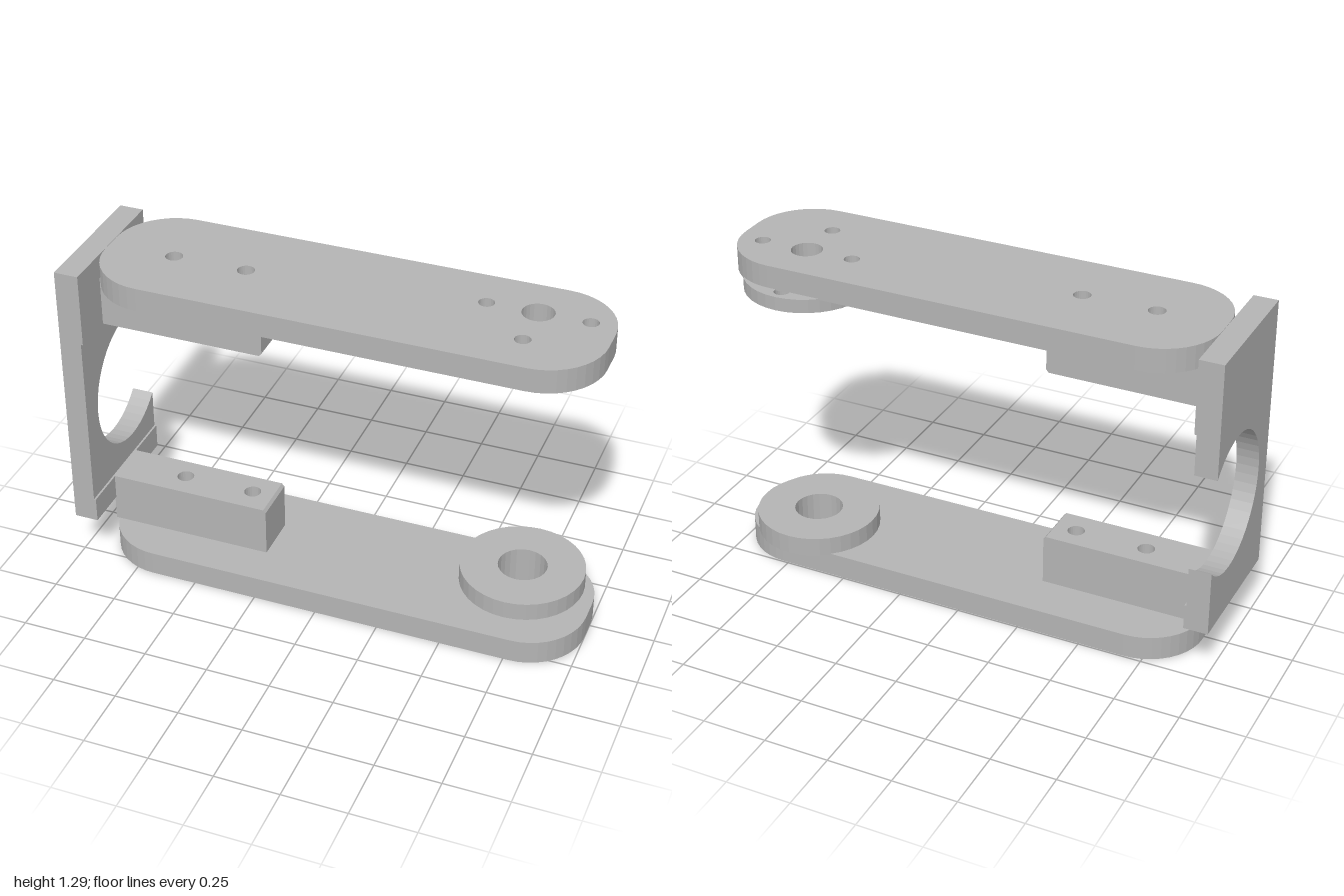
import * as THREE from 'three';

const HUB = [0.71, -0.06];
const BOLTS = [[-0.645, 0.036, 0.033], [-0.36, 0.036, 0.033]];
const HUB_BOLTS = [[0, 0.19], [-0.19, 0], [0.19, 0], [0, -0.19]]
  .map(([dx, dz]) => [HUB[0] + dx, HUB[1] + dz, 0.03]);

export function createModel() {
  const model = new THREE.Group();
  model.name = 'bracket';
  const gray = new THREE.MeshStandardMaterial({ color: 0xb4b4b4 });
  gray.name = 'gray';

  const add = (name, geometry) => {
    const mesh = new THREE.Mesh(geometry, gray);
    mesh.name = name;
    model.add(mesh);
    return mesh;
  };

  // Horizontal slab from an (x, z) outline with round holes [x, z, radius]
  const slab = (name, outline, y0, y1, holes = []) => {
    const shape = new THREE.Shape(outline);
    for (const [x, z, r] of holes) {
      shape.holes.push(new THREE.Path().absarc(x, z, r, 0, Math.PI * 2, true));
    }
    const g = new THREE.ExtrudeGeometry(shape, { depth: y1 - y0, bevelEnabled: false, curveSegments: 12 });
    g.rotateX(Math.PI / 2).translate(0, y1, 0);
    return add(name, g);
  };

  const box = (name, x0, x1, y0, y1, z0, z1) => {
    const g = new THREE.BoxGeometry(x1 - x0, y1 - y0, z1 - z0);
    g.translate((x0 + x1) / 2, (y0 + y1) / 2, (z0 + z1) / 2);
    return add(name, g);
  };

  const rect = (x0, x1, z0, z1) =>
    [[x0, z0], [x1, z0], [x1, z1], [x0, z1]].map(([x, z]) => new THREE.Vector2(x, z));

  // Arm outline with rounded corners
  const [x0, x1, z0, z1, r] = [-0.905, 1, -0.245, 0.3, 0.228];
  const armOutline = new THREE.Shape()
    .absarc(x1 - r, z0 + r, r, -Math.PI / 2, 0, false)
    .absarc(x1 - r, z1 - r, r, 0, Math.PI / 2, false)
    .absarc(x0 + r, z1 - r, r, Math.PI / 2, Math.PI, false)
    .absarc(x0 + r, z0 + r, r, Math.PI, Math.PI * 1.5, false)
    .getPoints(5);
  const discOutline = new THREE.Shape().absarc(...HUB, 0.241, 0, Math.PI * 2, false).getPoints(18);

  // Arms and hub discs; the rearmost hub bolt lies only in the upper disc
  const armBolts = [...BOLTS, ...HUB_BOLTS.slice(0, 3)];
  slab('lowerArm', armOutline, 0, 0.095, [...armBolts, [...HUB, 0.095]]);
  slab('lowerDisc', discOutline, 0.09, 0.167, [[...HUB, 0.095]]);
  slab('upperArm', armOutline, 1.193, 1.286, [...armBolts, [...HUB, 0.06]]);
  slab('upperDisc', discOutline, 1.143, 1.197, [...HUB_BOLTS, [...HUB, 0.06]]);

  // Mounting blocks: solid base, drilled face, chamfered free end
  const [bx0, bx1, bz0, bz1] = [-0.91, -0.275, -0.055, 0.135];
  const block = (name, base, face) => {
    const s = Math.sign(face - base);
    const mid = base + s * 0.06;
    box(name + 'Base', bx0, bx1, Math.min(base, mid), Math.max(base, mid), bz0, bz1);
    slab(name, rect(bx0, bx1, bz0, bz1), Math.min(mid, face), Math.max(mid, face), BOLTS);
    const end = new THREE.Shape([
      [bx1, base], [bx1 + 0.01, base], [bx1 + 0.01, face - s * 0.012], [bx1, face],
    ].map(([x, y]) => new THREE.Vector2(x, y)));
    const g = new THREE.ExtrudeGeometry(end, { depth: bz1 - bz0, bevelEnabled: false });
    add(name + 'End', g.translate(0, 0, bz0));
  };
  block('lowerBlock', 0.095, 0.296);
  block('upperBlock', 1.193, 0.997);

  // Upright plate with a round cutout open at the back (shape x is -z)
  const [py0, py1, cy, cr] = [0.195, 1.286, 0.645, 0.269];
  const a = Math.acos((0.245 - 0.057) / cr);
  const plate = new THREE.Shape();
  plate.moveTo(-0.3, py0).lineTo(0.245, py0);
  plate.absarc(0.057, cy, cr, -a, a, true);
  plate.lineTo(0.245, py1).lineTo(-0.3, py1);
  const pg = new THREE.ExtrudeGeometry(plate, { depth: 0.086, bevelEnabled: false, curveSegments: 18 });
  add('uprightPlate', pg.rotateY(Math.PI / 2).translate(-1, 0, 0));

  // Slightly raised pads at the plate's ends
  box('lowerPad', -0.915, -0.906, py0, 0.294, -0.245, 0.3);
  box('upperPad', -0.915, -0.906, 0.998, py1, -0.245, 0.3);

  return model;
}
